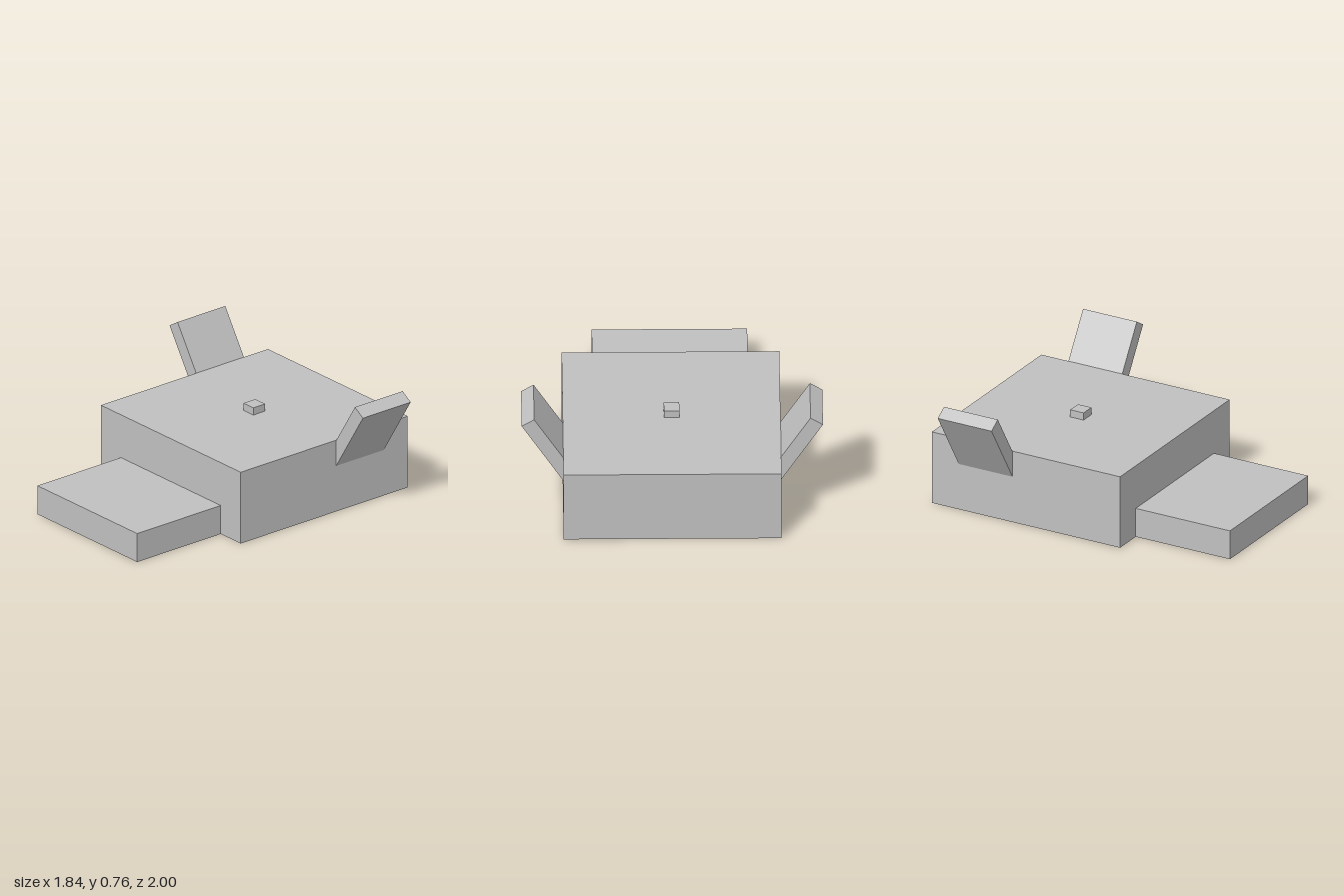
import * as THREE from 'three';

export function createModel() {
  const model = new THREE.Group();
  const grey = new THREE.MeshStandardMaterial({ color: 0xc0c0c0 });
  grey.name = 'light grey';

  // Box given by its size and centre
  function box(name, w, h, d, x, y, z) {
    const mesh = new THREE.Mesh(new THREE.BoxGeometry(w, h, d), grey);
    mesh.name = name;
    mesh.position.set(x, y, z);
    model.add(mesh);
    return mesh;
  }

  // Main block, low front step and small knob on top
  box('body', 1.333, 0.476, 1.333, 0, 0.238, -0.3335);
  box('frontStep', 0.952, 0.19, 0.667, 0, 0.095, 0.6665);
  box('topKnob', 0.095, 0.048, 0.095, 0, 0.5, -0.333);

  // Slanted side flaps, their lower ends sunk into the body
  const tilt = 0.563, length = 0.54, thickness = 0.09;
  for (const side of [1, -1]) {
    const x = 0.884 - Math.sin(tilt) * length / 2;
    const y = 0.733 - Math.cos(tilt) * length / 2;
    const flap = box(side > 0 ? 'leftFlap' : 'rightFlap',
      thickness, length, 0.381, side * x, y, -0.619);
    flap.rotation.z = -side * tilt;
  }

  return model;
}
